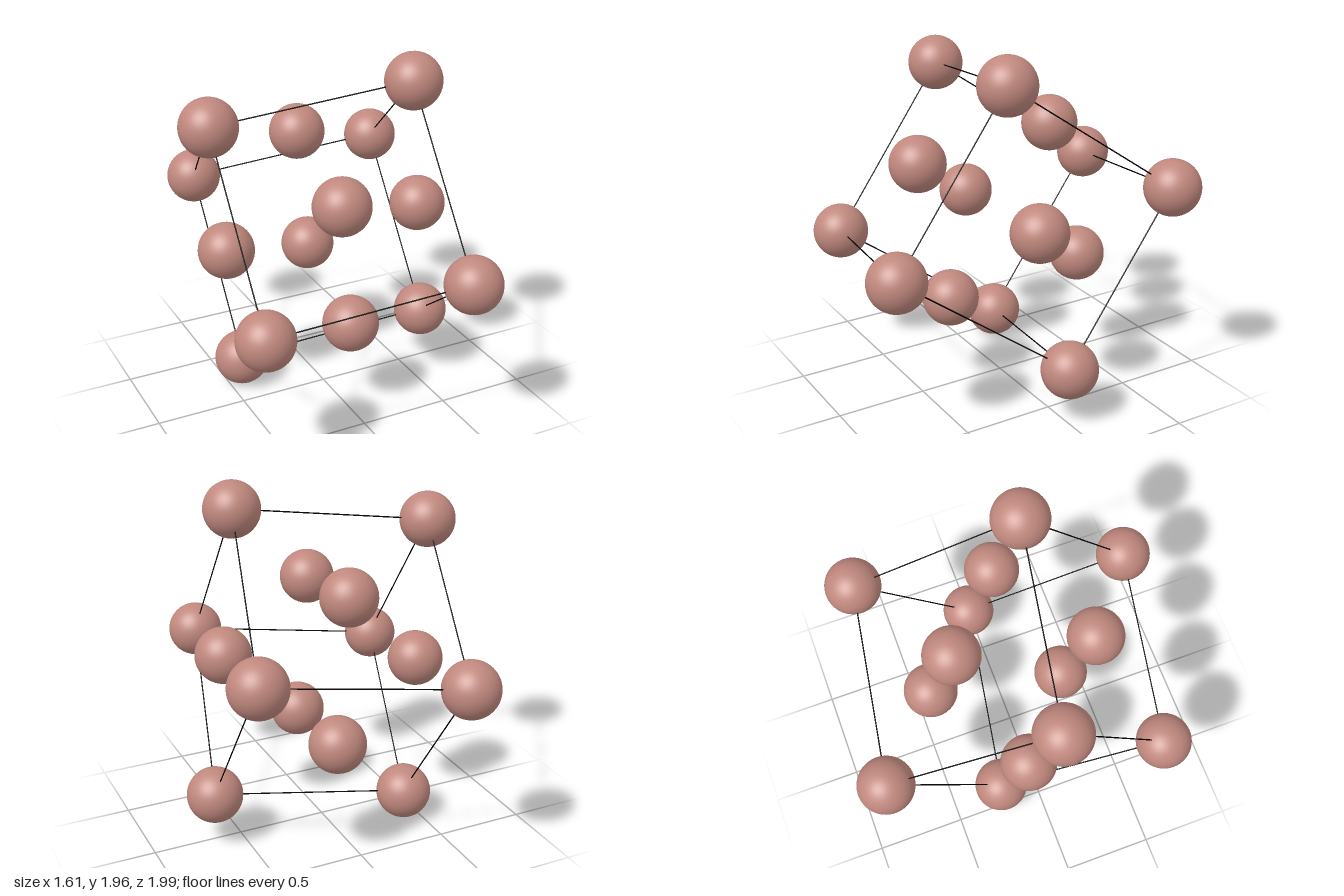
import * as THREE from 'three';

const SIDE = 1.094;      // cube edge length
const BALL = 0.153;      // ball radius
const ROD = 0.0035;      // edge rod radius

export function createModel() {
  const model = new THREE.Group();
  model.name = 'faceCentredCubicCell';

  const ballMaterial = new THREE.MeshStandardMaterial({ color: 0xc0887e });
  const rodMaterial = new THREE.MeshStandardMaterial({ color: 0x000000 });
  const ballGeometry = new THREE.SphereGeometry(BALL, 48, 32);
  const rodGeometry = new THREE.CylinderGeometry(ROD, ROD, SIDE, 8);

  // Tilted cube frame, made exactly orthogonal
  const u = new THREE.Vector3(1.07, 0.14, 0.18).normalize();
  const w = new THREE.Vector3().crossVectors(u, new THREE.Vector3(0.225, -0.62, -0.875)).normalize();
  const v = new THREE.Vector3().crossVectors(w, u);
  const cell = new THREE.Group();
  cell.name = 'tiltedCell';
  cell.quaternion.setFromRotationMatrix(new THREE.Matrix4().makeBasis(u, v, w));
  cell.position.y = 0.98;
  model.add(cell);

  const add = (name, geometry, material, x, y, z) => {
    const mesh = new THREE.Mesh(geometry, material);
    mesh.name = name;
    mesh.position.set(x, y, z).multiplyScalar(SIDE / 2);
    cell.add(mesh);
    return mesh;
  };

  // Every grid point of the cube: corners, edge middles and face centres
  for (const x of [-1, 0, 1]) for (const y of [-1, 0, 1]) for (const z of [-1, 0, 1]) {
    const zeros = [x, y, z].filter((c) => c === 0).length;
    if (zeros === 0) add('cornerBall', ballGeometry, ballMaterial, x, y, z);
    if (zeros === 2) add('faceBall', ballGeometry, ballMaterial, x, y, z);
    if (zeros === 1) {
      const rod = add('edgeRod', rodGeometry, rodMaterial, x, y, z);
      if (x === 0) rod.rotation.z = Math.PI / 2;
      if (z === 0) rod.rotation.x = Math.PI / 2;
    }
  }
  return model;
}
